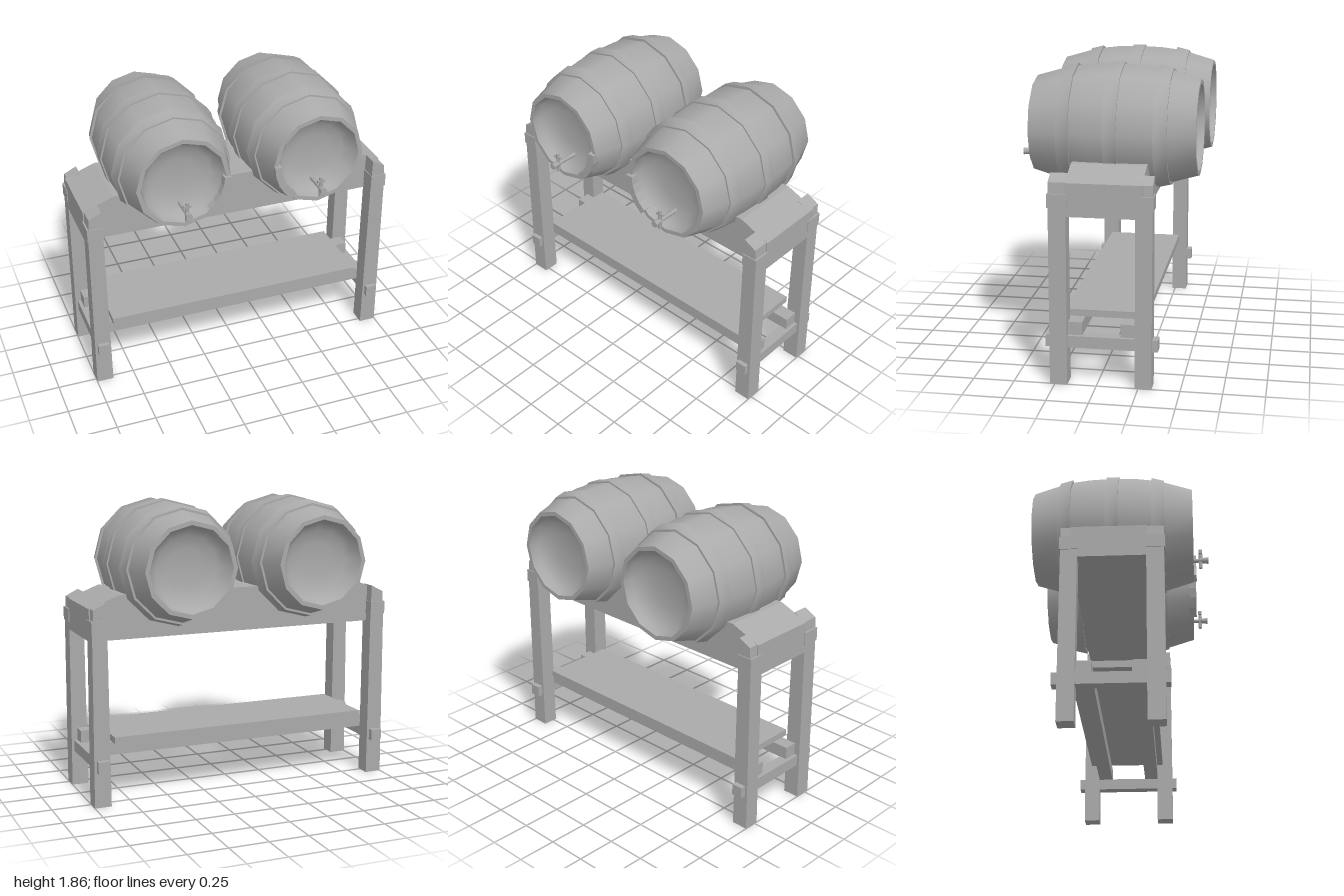
import * as THREE from 'three';
import { toCreasedNormals } from 'three/addons/utils/BufferGeometryUtils.js';

const grey = new THREE.MeshStandardMaterial({ color: 0xaaaaaa });
grey.name = 'weathered grey';

function add(parent, name, geometry, x = 0, y = 0, z = 0) {
  const mesh = new THREE.Mesh(geometry, grey);
  mesh.name = name;
  mesh.position.set(x, y, z);
  parent.add(mesh);
  return mesh;
}

// box given by its min and max on each axis
function block(parent, name, x0, x1, y0, y1, z0, z1) {
  return add(parent, name, new THREE.BoxGeometry(x1 - x0, y1 - y0, z1 - z0),
    (x0 + x1) / 2, (y0 + y1) / 2, (z0 + z1) / 2);
}

// x-y outline pushed along z from z0 to z1
function slab(parent, name, points, z0, z1) {
  const shape = new THREE.Shape(points.map(([x, y]) => new THREE.Vector2(x, y)));
  const geometry = new THREE.ExtrudeGeometry(shape, { depth: z1 - z0, bevelEnabled: false });
  return add(parent, name, geometry, 0, 0, z0);
}

// turned form around the z axis: [radius, z] pairs
function turned(points, sides) {
  const lathe = new THREE.LatheGeometry(points.map(([r, z]) => new THREE.Vector2(r, z)), sides);
  lathe.rotateX(Math.PI / 2);
  return toCreasedNormals(lathe, 0.75);
}

const SIDES = 12;

function makeBarrel(side) {
  const barrel = new THREE.Group();
  barrel.name = side > 0 ? 'leftBarrel' : 'rightBarrel';
  barrel.position.set(side * 0.435, 1.47, -0.045);

  // bulging staves with a hollow dished head at each end
  const half = [[0.373, 0.15], [0.356, 0.29], [0.295, 0.5], [0.268, 0.5],
    [0.25, 0.45], [0.2, 0.41], [0.12, 0.392], [0, 0.388]];
  const mirrored = half.map(([r, z]) => [r, -z]).reverse();
  add(barrel, 'staves', turned([...mirrored, [0.379, 0], ...half], SIDES));

  // three hoops
  for (const [z, rBack, rFront] of [[-0.295, 0.357, 0.377], [0, 0.388, 0.388], [0.285, 0.377, 0.357]]) {
    add(barrel, 'hoop', turned([[0.34, z - 0.04], [rBack, z - 0.04],
      [rFront, z + 0.04], [0.34, z + 0.04]], SIDES));
  }

  // raised stave end on the inner side of the front rim
  const a0 = Math.PI, a1 = Math.PI + 0.92;
  const arc = new THREE.Shape();
  arc.absarc(0, 0, 0.295, a0, a1, false);
  arc.absarc(0, 0, 0.25, a1, a0, true);
  const lip = new THREE.ExtrudeGeometry(arc, { depth: 0.05, bevelEnabled: false, curveSegments: 2 });
  const lipMesh = add(barrel, 'raisedStaveEnd', lip, 0, 0, 0.47);
  if (side < 0) lipMesh.rotation.z = Math.PI - 0.92;
  if (side < 0) lipMesh.rotation.z = 2 * Math.PI - (a0 + a1) + Math.PI;

  // tap
  const tap = new THREE.Group();
  tap.name = 'tap';
  tap.position.set(0, -0.18, 0);
  barrel.add(tap);
  add(tap, 'pipe', new THREE.CylinderGeometry(0.013, 0.013, 0.17, 8).rotateX(Math.PI / 2), 0, 0, 0.485);
  add(tap, 'nozzle', new THREE.CylinderGeometry(0.022, 0.017, 0.05, 8).rotateX(Math.PI / 2), 0, 0, 0.57);
  add(tap, 'stem', new THREE.CylinderGeometry(0.012, 0.012, 0.13, 6), 0, 0.01, 0.545);
  add(tap, 'handle', new THREE.BoxGeometry(0.05, 0.016, 0.016), 0, 0.05, 0.545);
  return barrel;
}

export function createModel() {
  const model = new THREE.Group();
  model.name = 'barrelRack';

  // legs with slanted tops, collars and cross bars
  for (const s of [-1, 1]) {
    for (const [z0, z1] of [[0.175, 0.28], [-0.33, -0.23]]) {
      const outline = [[0.893, 0], [1, 0], [0.995, 1.08], [0.985, 1.23], [0.905, 1.27], [0.9, 1.08]];
      const pts = s > 0 ? outline : outline.map(([x, y]) => [-x, y]).reverse();
      slab(model, 'leg', pts, z0, z1);
      const collar = block(model, 'collar', 0.898, 1, 1.08, 1.163, z0 - 0.006, z1 + 0.006);
      collar.position.x *= s;
    }
    const bar = block(model, 'crossBar', 0.91, 0.982, 0.228, 0.3, -0.365, 0.308);
    bar.position.x *= s;
  }

  // bed carrying the barrels
  slab(model, 'bed', [[-0.995, 1.03], [0.995, 1.03], [0.995, 1.23], [0.8, 1.305],
    [-0.8, 1.305], [-0.995, 1.23]], -0.27, 0.18);

  // lower shelf on two rails
  block(model, 'shelf', -0.855, 0.85, 0.38, 0.422, -0.28, 0.215);
  block(model, 'frontRail', -0.96, 0.96, 0.298, 0.38, 0.09, 0.178);
  block(model, 'backRail', -0.96, 0.96, 0.298, 0.38, -0.23, -0.14);

  for (const s of [-1, 1]) model.add(makeBarrel(s));
  return model;
}
